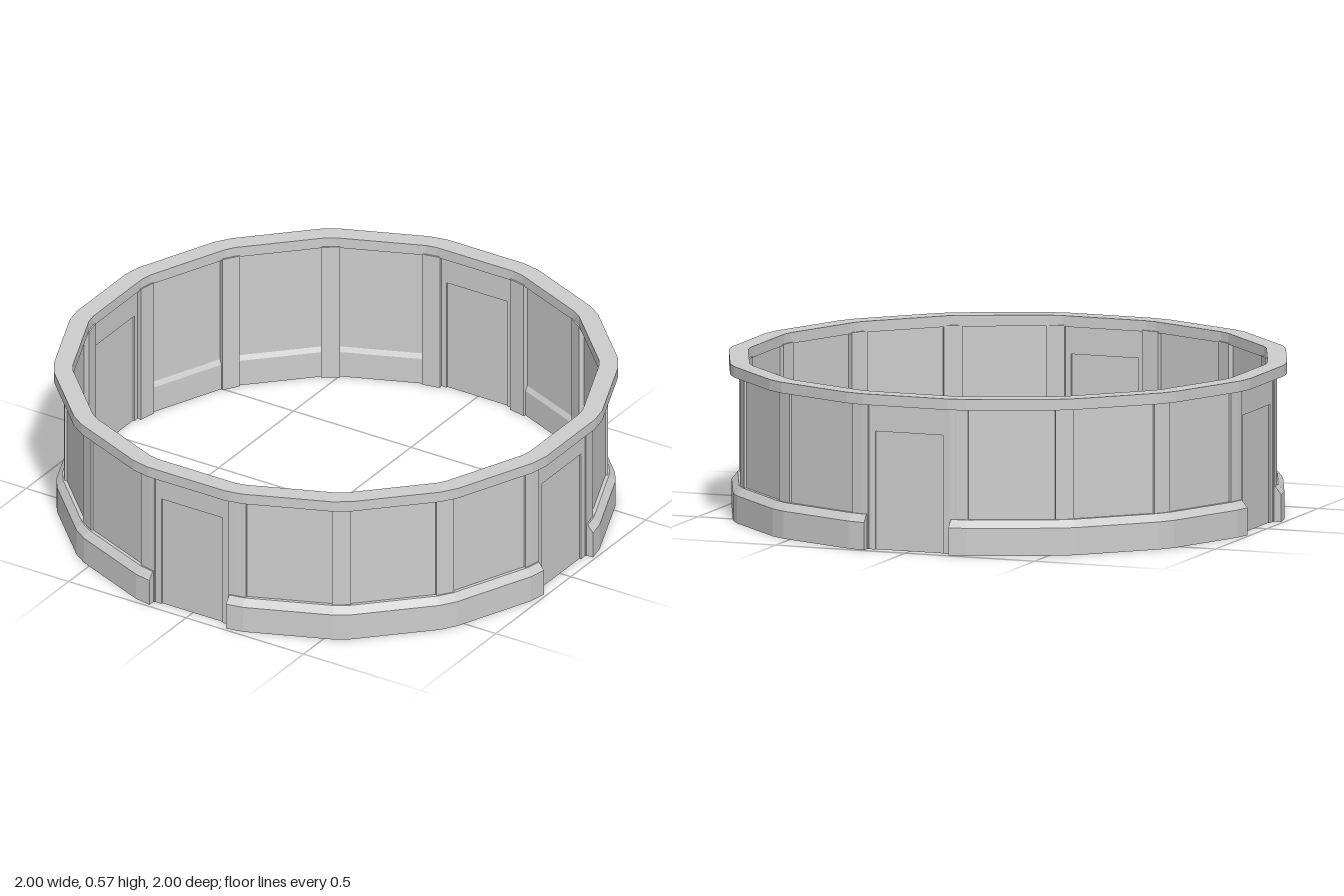
import * as THREE from 'three';

const SIDES = 16;
const STEP = (Math.PI * 2) / SIDES;
const HALF = 0.163; // half length of a straight side; corners between sides are cut off

const stone = new THREE.MeshStandardMaterial({ color: 0xcccccc });
stone.name = 'pale stone';

// Point on side k: a = distance of the side from the centre, h = offset along the side
function sidePoint(k, a, h, y) {
  const s = Math.sin(k * STEP), c = Math.cos(k * STEP);
  return [a * s + h * c, y, a * c - h * s];
}

// Sweep a convex profile of [distance, height] along stations of [side, offset]
function sweep(profile, stations, closed) {
  const pos = [];
  const rings = stations.map(([k, h]) => profile.map(([a, y]) => sidePoint(k, a, h, y)));
  const n = profile.length;
  const spans = closed ? rings.length : rings.length - 1;
  for (let i = 0; i < spans; i++) {
    const p = rings[i], q = rings[(i + 1) % rings.length];
    for (let j = 0; j < n; j++) {
      const m = (j + 1) % n;
      pos.push(...p[j], ...q[j], ...q[m], ...p[j], ...q[m], ...p[m]);
    }
  }
  if (!closed) {
    const first = rings[0], last = rings[rings.length - 1];
    for (let j = 1; j < n - 1; j++) {
      pos.push(...first[0], ...first[j], ...first[j + 1]);
      pos.push(...last[0], ...last[j + 1], ...last[j]);
    }
  }
  const g = new THREE.BufferGeometry();
  g.setAttribute('position', new THREE.Float32BufferAttribute(pos, 3));
  g.computeVertexNormals();
  return g;
}

function mesh(name, geometry) {
  const m = new THREE.Mesh(geometry, stone);
  m.name = name;
  return m;
}

// Box standing at height y0..y1, from distance r0 to r1, turned to an angle
function radialBox(name, width, y0, y1, r0, r1, angle) {
  const g = new THREE.BoxGeometry(width, y1 - y0, r1 - r0);
  g.translate(0, (y0 + y1) / 2, (r0 + r1) / 2);
  g.rotateY(angle);
  return mesh(name, g);
}

// Wall with a doorway cut out of its lower edge
function doorWallGeometry(angle) {
  const w = 0.18, d = 0.13, top = 0.43;
  const shape = new THREE.Shape([
    [-w, 0], [-d, 0], [-d, top], [d, top], [d, 0], [w, 0], [w, 0.54], [-w, 0.54],
  ].map(([x, y]) => new THREE.Vector2(x, y)));
  const g = new THREE.ExtrudeGeometry(shape, { depth: 0.018, bevelEnabled: false });
  g.translate(0, 0, 0.942);
  g.rotateY(angle);
  return g;
}

export function createModel() {
  const model = new THREE.Group();
  model.name = 'roundWall';

  // Cornice all the way round
  const loop = [];
  for (let k = 0; k < SIDES; k++) loop.push([k, -HALF], [k, HALF]);
  model.add(mesh('cornice', sweep(
    [[1, 0.53], [1, 0.57], [0.93, 0.57], [0.93, 0.53]], loop, true)));

  // Chamfered plinths between the four doorways
  const plinth = [[0.99, 0], [0.99, 0.1], [0.968, 0.127], [0.952, 0.127], [0.935, 0.1], [0.935, 0]];
  for (let q = 0; q < 4; q++) {
    const k = q * 4;
    const path = [[k, HALF]];
    for (let i = 1; i < 4; i++) path.push([k + i, -HALF], [k + i, HALF]);
    path.push([k + 4, -HALF]);
    model.add(mesh('plinth', sweep(plinth, path, false)));
  }

  for (let k = 0; k < SIDES; k++) {
    const angle = k * STEP;
    // Pilaster on each corner
    model.add(radialBox('pilaster', 0.068, 0, 0.535, 0.938, 0.976, angle + STEP / 2));
    if (k % 4 === 0) {
      // Doorway with a set-back leaf
      model.add(mesh('doorWall', doorWallGeometry(angle)));
      model.add(radialBox('doorLeaf', 0.262, 0, 0.432, 0.948, 0.954, angle));
    } else {
      model.add(radialBox('wallPanel', 0.36, 0.08, 0.535, 0.946, 0.955, angle));
    }
  }
  return model;
}
